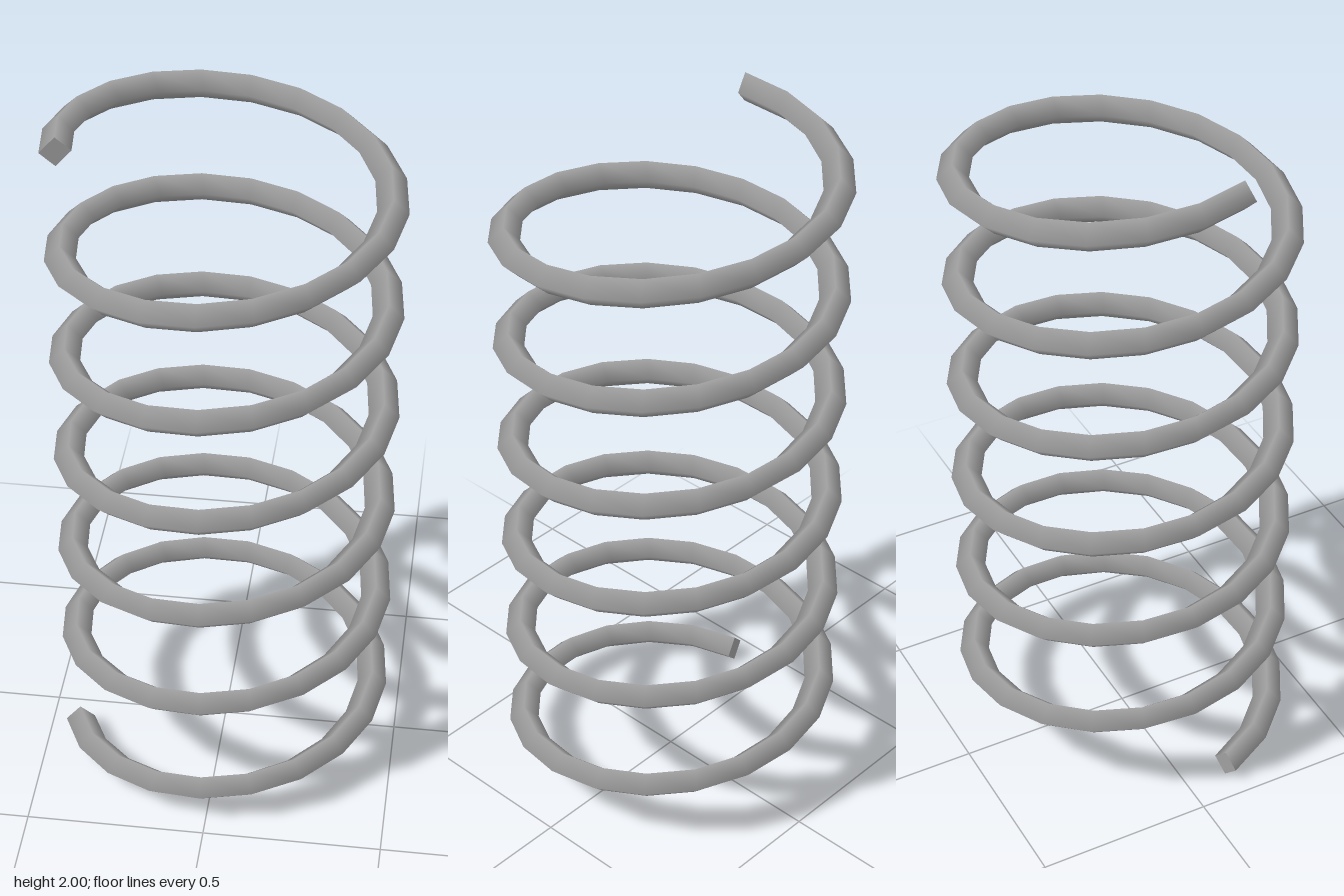
import * as THREE from 'three';

const TURNS = 6, STEPS = 20, SIDES = 4;
const COIL = 0.43, WIRE = 0.0415;
const PITCH = (2 - 2 * WIRE) / TURNS;
const START = THREE.MathUtils.degToRad(16);

// Direction out of the wire at coil angle a and section corner j
function outward(a, j) {
  const t = (j / SIDES) * Math.PI * 2;
  return new THREE.Vector3(-Math.cos(a) * Math.cos(t), Math.sin(t), Math.sin(a) * Math.cos(t));
}

// Section corner at step i of the helix
function corner(i, j) {
  const a = START + (i / STEPS) * Math.PI * 2;
  const centre = new THREE.Vector3(-Math.cos(a) * COIL, WIRE + (i / STEPS) * PITCH, Math.sin(a) * COIL);
  return centre.addScaledVector(outward(a, j), WIRE);
}

// Smooth-shaded wire with a diamond section
function coilGeometry() {
  const pos = [], nor = [], idx = [];
  const n = TURNS * STEPS;
  for (let i = 0; i <= n; i++) {
    const a = START + (i / STEPS) * Math.PI * 2;
    for (let j = 0; j < SIDES; j++) {
      pos.push(...corner(i, j).toArray());
      nor.push(...outward(a, j).toArray());
      if (i === n) continue;
      const p = i * SIDES + j, q = i * SIDES + (j + 1) % SIDES;
      idx.push(p, p + SIDES, q, q, p + SIDES, q + SIDES);
    }
  }
  const g = new THREE.BufferGeometry();
  g.setAttribute('position', new THREE.Float32BufferAttribute(pos, 3));
  g.setAttribute('normal', new THREE.Float32BufferAttribute(nor, 3));
  g.setIndex(idx);
  return g;
}

// Flat face closing one end of the wire
function capGeometry(i, flip) {
  const pos = [];
  for (let j = 0; j < SIDES; j++) pos.push(...corner(i, j).toArray());
  const g = new THREE.BufferGeometry();
  g.setAttribute('position', new THREE.Float32BufferAttribute(pos, 3));
  g.setIndex(flip ? [0, 2, 1, 0, 3, 2] : [0, 1, 2, 0, 2, 3]);
  g.computeVertexNormals();
  return g;
}

export function createModel() {
  const steel = new THREE.MeshStandardMaterial({ color: 0xa0a0a0 });
  steel.name = 'steel';
  const group = new THREE.Group();
  group.name = 'coilSpring';
  const add = (name, geometry) => {
    const mesh = new THREE.Mesh(geometry, steel);
    mesh.name = name;
    group.add(mesh);
  };
  add('coil', coilGeometry());
  add('bottomEnd', capGeometry(0, false));
  add('topEnd', capGeometry(TURNS * STEPS, true));
  return group;
}
